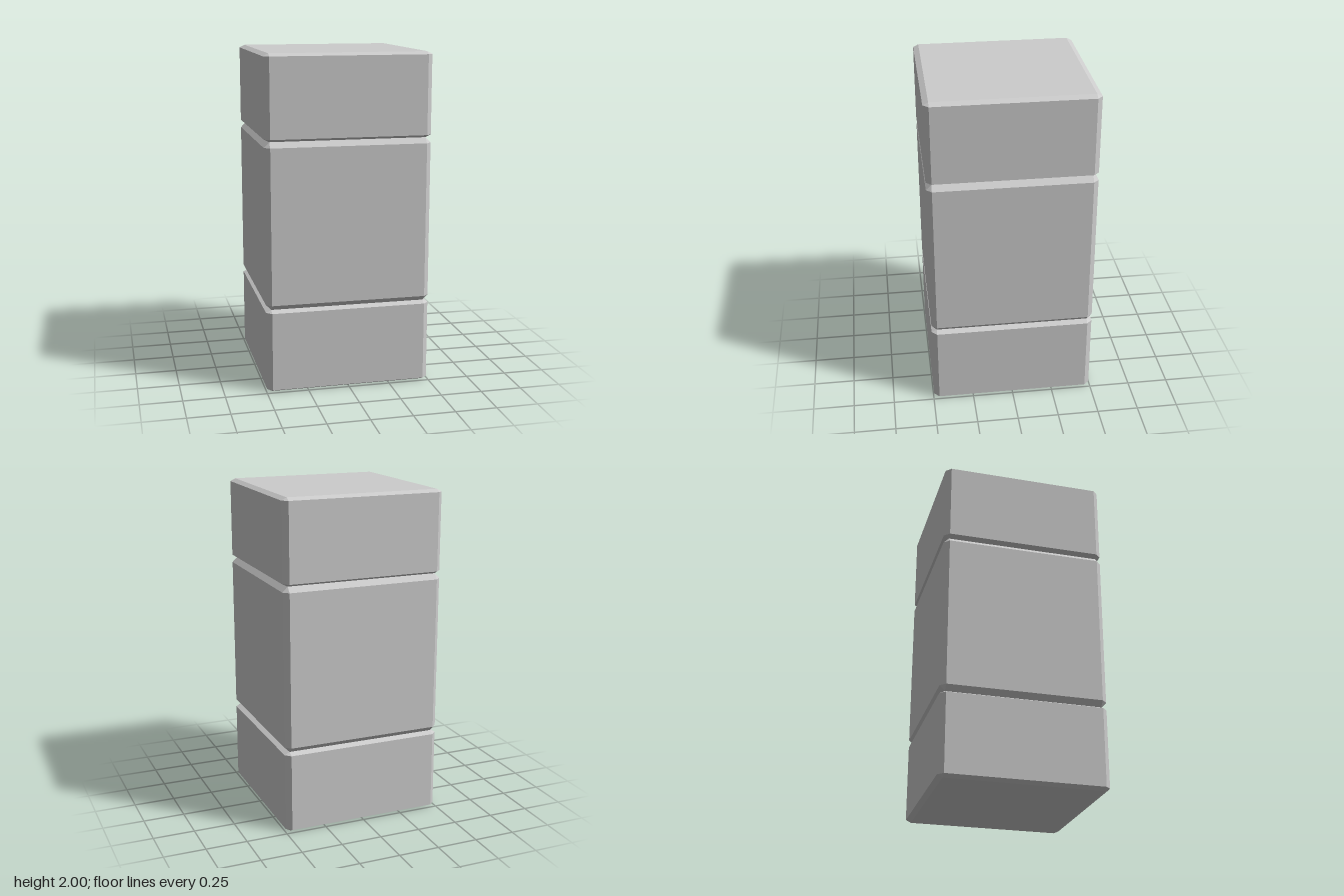
import * as THREE from 'three';
import { ConvexGeometry } from 'three/addons/geometries/ConvexGeometry.js';

const HALF = 0.4965; // half width of every block
const BEVEL = 0.032; // horizontal bevel

// Box with chamfered edges and triangular corners: each corner becomes three
// points, each lying on one of the three faces that meet there.
function bevelledBlock(name, bottom, top, bevelY, material) {
  const half = [HALF, (top - bottom) / 2, HALF];
  const bevel = [BEVEL, bevelY, BEVEL];
  const points = [];
  for (const sx of [-1, 1]) for (const sy of [-1, 1]) for (const sz of [-1, 1]) {
    const sign = [sx, sy, sz];
    for (let face = 0; face < 3; face++) {
      const p = half.map((h, axis) => sign[axis] * (axis === face ? h : h - bevel[axis]));
      points.push(new THREE.Vector3(...p));
    }
  }
  const mesh = new THREE.Mesh(new ConvexGeometry(points), material);
  mesh.name = name;
  mesh.position.y = (bottom + top) / 2;
  return mesh;
}

export function createModel() {
  const group = new THREE.Group();
  group.name = 'blockPillar';
  const material = new THREE.MeshStandardMaterial({ color: 0xcccccc, flatShading: true });

  // Half-height end blocks have bevels squashed to half height
  group.add(
    bevelledBlock('bottomBlock', 0, 0.506, BEVEL / 2, material),
    bevelledBlock('middleBlock', 0.506, 1.5, BEVEL, material),
    bevelledBlock('topBlock', 1.5, 2, BEVEL / 2, material),
  );
  return group;
}
